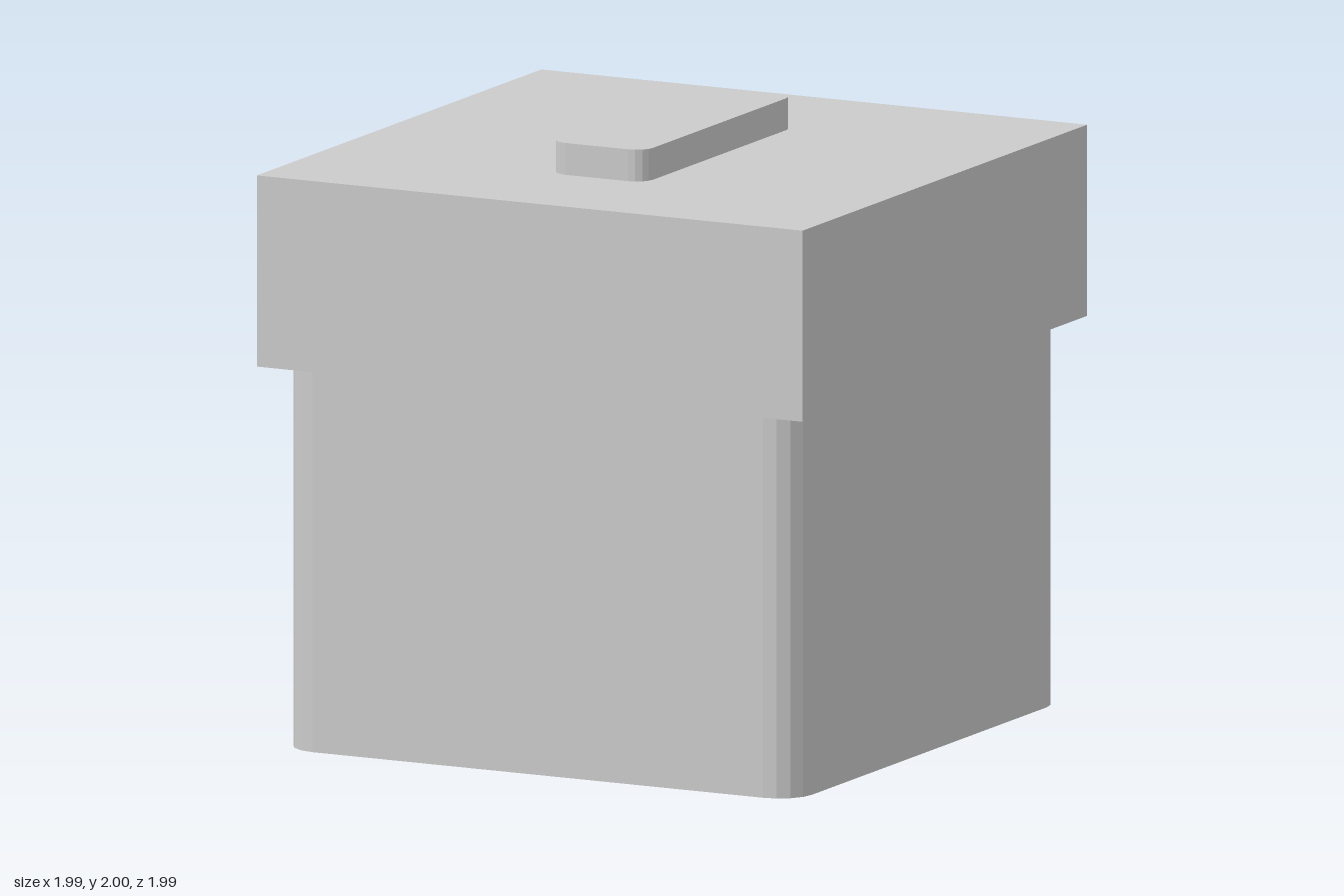
import * as THREE from 'three';

const material = new THREE.MeshStandardMaterial({ color: 0xcccccc, flatShading: true });

// Upright block with rounded vertical corners, standing on y = 0
function roundedBlock(halfX, halfZ, radius, height) {
  const shape = new THREE.Shape();
  const x = halfX - radius, z = halfZ - radius;
  [[x, z], [-x, z], [-x, -z], [x, -z]].forEach(([cx, cz], i) => {
    shape.absarc(cx, cz, radius, i * Math.PI / 2, (i + 1) * Math.PI / 2, false);
  });
  // two curve segments give four facets per corner
  const geometry = new THREE.ExtrudeGeometry(shape, { depth: height, bevelEnabled: false, curveSegments: 2 });
  return geometry.rotateX(-Math.PI / 2);
}

export function createModel() {
  const group = new THREE.Group();
  group.name = 'liddedBox';

  const add = (name, geometry, y) => {
    const mesh = new THREE.Mesh(geometry, material);
    mesh.name = name;
    mesh.position.y = y;
    group.add(mesh);
  };

  const bodyTop = 1.265, lidTop = 1.895;

  // Body with rounded corners, sharp-edged overhanging lid, raised handle
  add('body', roundedBlock(0.938, 0.938, 0.117, bodyTop), 0);
  add('lid', new THREE.BoxGeometry(1.99, lidTop - bodyTop, 1.99), (bodyTop + lidTop) / 2);
  add('handle', roundedBlock(0.174, 0.525, 0.06, 2 - lidTop), lidTop);

  return group;
}
